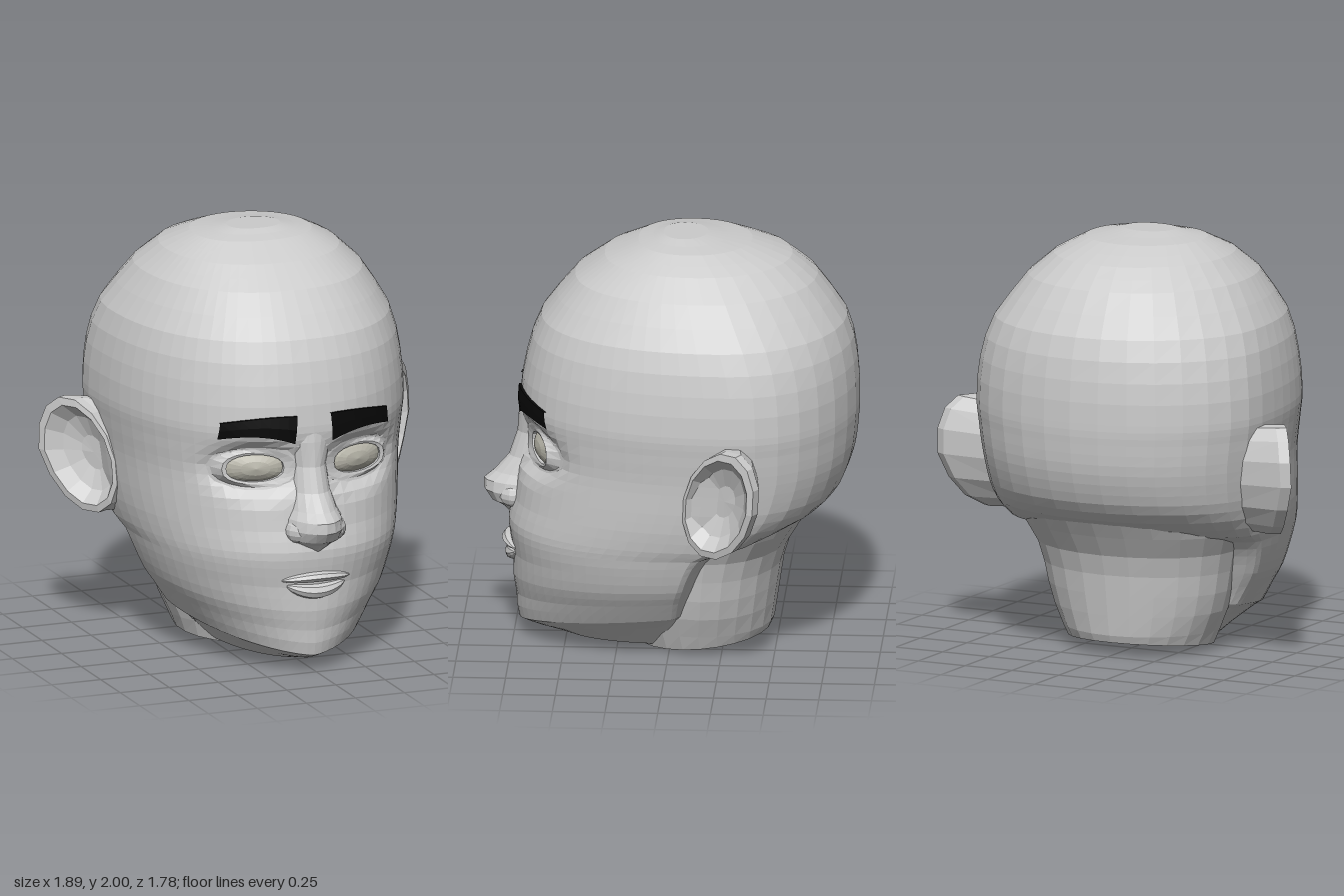
import * as THREE from 'three';

// Head levels: y, front z, back z, half width, z of widest point, rise towards the jaw corner
const LEVELS = [
  [0.01, 0.5, -0.08, 0.26, 0.02, 0.02], [0.04, 0.63, -0.1, 0.38, 0, 0.12],
  [0.075, 0.725, -0.12, 0.46, -0.02, 0.145], [0.2, 0.74, -0.16, 0.52, -0.03, 0.11],
  [0.3, 0.755, -0.18, 0.565, -0.05, 0.08], [0.42, 0.755, -0.22, 0.6, -0.08, 0.05],
  [0.52, 0.77, -0.3, 0.625, -0.12, 0.03], [0.6, 0.775, -0.5, 0.65, -0.2, 0],
  [0.7, 0.75, -0.72, 0.675, -0.25, 0], [0.8, 0.735, -0.81, 0.69, -0.29, 0],
  [0.95, 0.715, -0.865, 0.705, -0.32, 0], [1.1, 0.715, -0.885, 0.725, -0.32, 0],
  [1.2, 0.72, -0.89, 0.735, -0.32, 0], [1.4, 0.69, -0.88, 0.72, -0.31, 0],
  [1.6, 0.62, -0.83, 0.665, -0.26, 0], [1.8, 0.46, -0.69, 0.53, -0.18, 0],
  [1.9, 0.32, -0.57, 0.42, -0.14, 0], [1.97, 0.16, -0.38, 0.29, -0.1, 0],
  [2.0, 0.04, -0.17, 0.13, -0.06, 0],
];
const TAU = Math.PI * 2;
const V = (x, y, z) => new THREE.Vector3(x, y, z);
const range = (n, f) => Array.from({ length: n }, (_, i) => f(i));
// Squareness of the face in plan: pointed at the chin, fuller above
const power = (y) => 1.8 + 0.47 * THREE.MathUtils.smoothstep(y, 0, 0.6);

const skin = new THREE.MeshStandardMaterial({ color: 0xcccccc, flatShading: true });
const black = new THREE.MeshStandardMaterial({ color: 0x080808, flatShading: true });
const eyeGrey = new THREE.MeshStandardMaterial({ color: 0xb8b6aa, flatShading: true });

// Smoothly interpolated level at height y
function levelAt(y) {
  const last = LEVELS.length - 1;
  let i = 0;
  while (i < last - 1 && y > LEVELS[i + 1][0]) i++;
  const [p, a, b, q] = [i - 1, i, i + 1, i + 2].map((k) => LEVELS[Math.min(last, Math.max(0, k))]);
  const t = (y - a[0]) / (b[0] - a[0]);
  return a.map((v, k) => v + 0.5 * t * (b[k] - p[k]
    + t * (2 * p[k] - 5 * v + 4 * b[k] - q[k] + t * (3 * (v - b[k]) + q[k] - p[k]))));
}

// Depth of the eye socket at x, y
function socket(x, y) {
  const d = ((Math.abs(x) - 0.26) / 0.19) ** 2 + ((y - 0.99) / 0.115) ** 2;
  return 0.1 * Math.exp(-(d ** 1.6));
}

// Front surface of the face at x, y
function faceZ(x, y) {
  const [, zf, , w, zm] = levelAt(y), p = power(y);
  const r = Math.max(0, 1 - Math.abs(x / w) ** p) ** (1 / p);
  return zm + (zf - zm) * r - socket(x, y);
}

// Skin over a list of rings (counter-clockwise seen from the end); side -1 mirrors in x
function loft(name, rings, material, { closed = true, side = 1 } = {}) {
  const n = rings[0].length, index = [];
  const pos = rings.flat().flatMap((p) => [p.x * side, p.y, p.z]);
  for (let i = 0; i < rings.length - 1; i++) {
    for (let j = 0; j < (closed ? n : n - 1); j++) {
      const k = (j + 1) % n;
      const a = i * n + j, b = i * n + k, c = a + n, d = b + n;
      if (side > 0) index.push(a, b, d, a, d, c);
      else index.push(a, d, b, a, c, d);
    }
  }
  const g = new THREE.BufferGeometry();
  g.setAttribute('position', new THREE.Float32BufferAttribute(pos, 3));
  g.setIndex(index);
  g.computeVertexNormals();
  const mesh = new THREE.Mesh(g, material);
  mesh.name = name;
  return mesh;
}

// All points of a ring drawn to its middle, to close an end
function cap(ring) {
  const m = ring.reduce((s, p) => s.add(p), V(0, 0, 0)).divideScalar(ring.length);
  return ring.map(() => m);
}
const capped = (rings) => [cap(rings[0]), ...rings, cap(rings[rings.length - 1])];

// Skull, face and jaw
function makeHead() {
  const front = 34, back = 16;
  const angles = [
    ...range(front, (i) => -Math.PI / 2 + Math.PI * i / front),
    ...range(back, (i) => Math.PI / 2 + Math.PI * i / back),
  ];
  // Levels are split once, and twice around the eyes
  const ys = LEVELS.flatMap(([y], i) => {
    if (!i) return [y];
    const y0 = LEVELS[i - 1][0], parts = y > 0.8 && y < 1.25 ? 3 : 2;
    return range(parts, (k) => y0 + (y - y0) * (k + 1) / parts);
  });
  const rings = ys.map((y0) => {
    const [, zf, zb, w, zm, lift] = levelAt(y0);
    return angles.map((a) => {
      const c = Math.cos(a), s = Math.sin(a), isFront = c > 0;
      const e = isFront ? 2 / power(y0) : 1;
      const x = w * Math.sign(s) * Math.abs(s) ** e;
      const z = isFront ? zm + (zf - zm) * c ** e : zm + (zm - zb) * c;
      const rise = THREE.MathUtils.clamp((zf - z) / (zf + 0.1), 0, 1) ** 0.65;
      return V(x, y0 + lift * rise, isFront ? z - socket(x, y0) : z);
    });
  });
  return loft('head', capped(rings), skin);
}

// Neck: y, half width, back z, front z
function makeNeck() {
  const rows = [[0, 0.355, -0.47, 0.17], [0.1, 0.385, -0.485, 0.2], [0.2, 0.43, -0.5, 0.2],
    [0.3, 0.46, -0.515, 0.2], [0.4, 0.48, -0.53, 0.2], [0.5, 0.505, -0.56, 0.2],
    [0.6, 0.55, -0.62, 0.2], [0.74, 0.58, -0.71, 0.2]];
  const rings = rows.map(([y, w, zb, zf], i) => range(24, (j) => {
    const a = TAU * j / 24;
    const z = (zf + zb) / 2 + (zf - zb) / 2 * Math.cos(a);
    return V(w * Math.sin(a), y + (i ? 0 : 0.1 * (zf - z)), z);
  }));
  return loft('neck', capped(rings), skin);
}

// Nose: y, half width, ridge z, root z
function makeNose() {
  const rows = [[0.6, 0.02, 0.78, 0.74], [0.635, 0.09, 0.81, 0.73], [0.66, 0.135, 0.86, 0.71],
    [0.71, 0.15, 0.895, 0.69], [0.76, 0.14, 0.893, 0.68], [0.8, 0.12, 0.845, 0.68],
    [0.88, 0.1, 0.775, 0.66], [1.0, 0.09, 0.735, 0.635], [1.12, 0.11, 0.727, 0.65],
    [1.22, 0.1, 0.712, 0.67]];
  const rings = rows.map(([y, w, tip, root]) => range(11, (j) => {
    const a = Math.PI * (j / 10 - 0.5);
    return V(w * Math.sin(a), y, root + (tip - root) * Math.max(0, Math.cos(a)) ** 1.3);
  }));
  return loft('nose', rings, skin, { closed: false });
}

// Lip: tapered roll that follows the face
function makeLip(name, y, halfHeight, depth, width) {
  const rings = range(13, (i) => {
    const u = i / 6 - 1, x = u * width, k = Math.sqrt(Math.max(0, 1 - u * u * 0.97));
    const yc = y + (0.452 - y) * u * u * 0.6;
    return range(8, (j) => {
      const a = TAU * j / 8;
      return V(x, yc + halfHeight * k * Math.cos(a), faceZ(x, yc) + depth * k * Math.sin(a));
    });
  });
  return loft(name, capped(rings), skin);
}

// Eye and its lids share one almond outline
function makeEye(side) {
  const ring = (r, zOf) => range(20, (j) => {
    const a = TAU * j / 20, s = Math.sin(a);
    const x = 0.26 + 0.135 * r * Math.cos(a);
    const y = 0.992 + 0.068 * r * Math.sign(s) * Math.abs(s) ** 0.8;
    return V(x, y, zOf(x, y));
  });
  const plane = (d) => (x) => 0.6 + d - 0.3 * (x - 0.26);
  const ball = [1.05, 0.8, 0.5, 0].map((r) => ring(r, plane(0.035 * (1 - r * r))));
  const lids = [ring(1.75, (x, y) => faceZ(x, y) - 0.012), ring(1.38, (x, y) => faceZ(x, y) + 0.008),
    ring(1.14, plane(0.022)), ring(0.98, plane(0.018)), ring(0.98, plane(-0.02))];
  const eye = new THREE.Group();
  eye.name = 'eye';
  eye.add(loft('eyeball', ball, eyeGrey, { side }), loft('eyelids', lids, skin, { side }));
  return eye;
}

// Eyebrow: thin band lying on the brow
function makeBrow(side) {
  const rows = [[0, -0.02], [0, 0.012], [0.5, 0.012], [1, 0.012], [1, -0.02]];
  const rings = rows.map(([v, out]) => range(9, (i) => {
    const u = i / 8, x = 0.085 + 0.01 * (1 - v) + 0.34 * u;
    const low = 1.12 + 0.14 * u - 0.12 * u * u, high = 1.255 + 0.015 * u - 0.05 * u * u;
    const y = low + (high - low) * v;
    return V(x, y, faceZ(x, y) + out);
  }));
  return loft('eyebrow', rings, black, { closed: false, side });
}

// Ear: flared cup from the root on the head, over the rim, into the bowl
function makeEar(side) {
  const ring = (f) => range(14, (j) => {
    const a = TAU * j / 14, s = Math.sin(a);
    return f(0.5 + 0.5 * Math.cos(a), s);
  });
  const rim = ring((u, s) => V(0.69 + 0.255 * u ** 0.8 + 0.07 * Math.min(0, s) + 0.015 * Math.max(0, s),
    0.89 + 0.275 * s, -0.09 - 0.34 * u - 0.05 * s));
  const root = ring((u, s) => V(0.6, 0.88 + 0.26 * s, -0.1 - 0.33 * u - 0.05 * s));
  const backEdge = rim.map((p) => V(p.x - 0.045, p.y, p.z - 0.025));
  const mid = V(0.81, 0.885, -0.27);
  const inner = (k, dx, dz) => rim.map((p) => p.clone().lerp(mid, k).add(V(dx, 0, dz)));
  const rings = [root, backEdge, rim, inner(0.13, 0, 0.01), inner(0.35, -0.06, -0.01),
    inner(0.7, -0.09, -0.02)];
  return loft('ear', [...rings, cap(rings[5])], skin, { side });
}

// Wing beside the nostril
function makeNostril(side) {
  const wing = new THREE.Mesh(new THREE.SphereGeometry(1, 10, 7), skin);
  wing.name = 'nostrilWing';
  wing.scale.set(0.048, 0.055, 0.075);
  wing.position.set(0.1 * side, 0.7, 0.75);
  wing.rotation.y = -0.4 * side;
  return wing;
}

export function createModel() {
  const model = new THREE.Group();
  model.name = 'humanHead';
  model.add(makeHead(), makeNeck(), makeNose());
  model.add(makeLip('upperLip', 0.472, 0.025, 0.045, 0.17));
  model.add(makeLip('lowerLip', 0.398, 0.036, 0.04, 0.145));
  for (const side of [1, -1]) {
    model.add(makeEye(side), makeBrow(side), makeEar(side), makeNostril(side));
  }
  return model;
}
